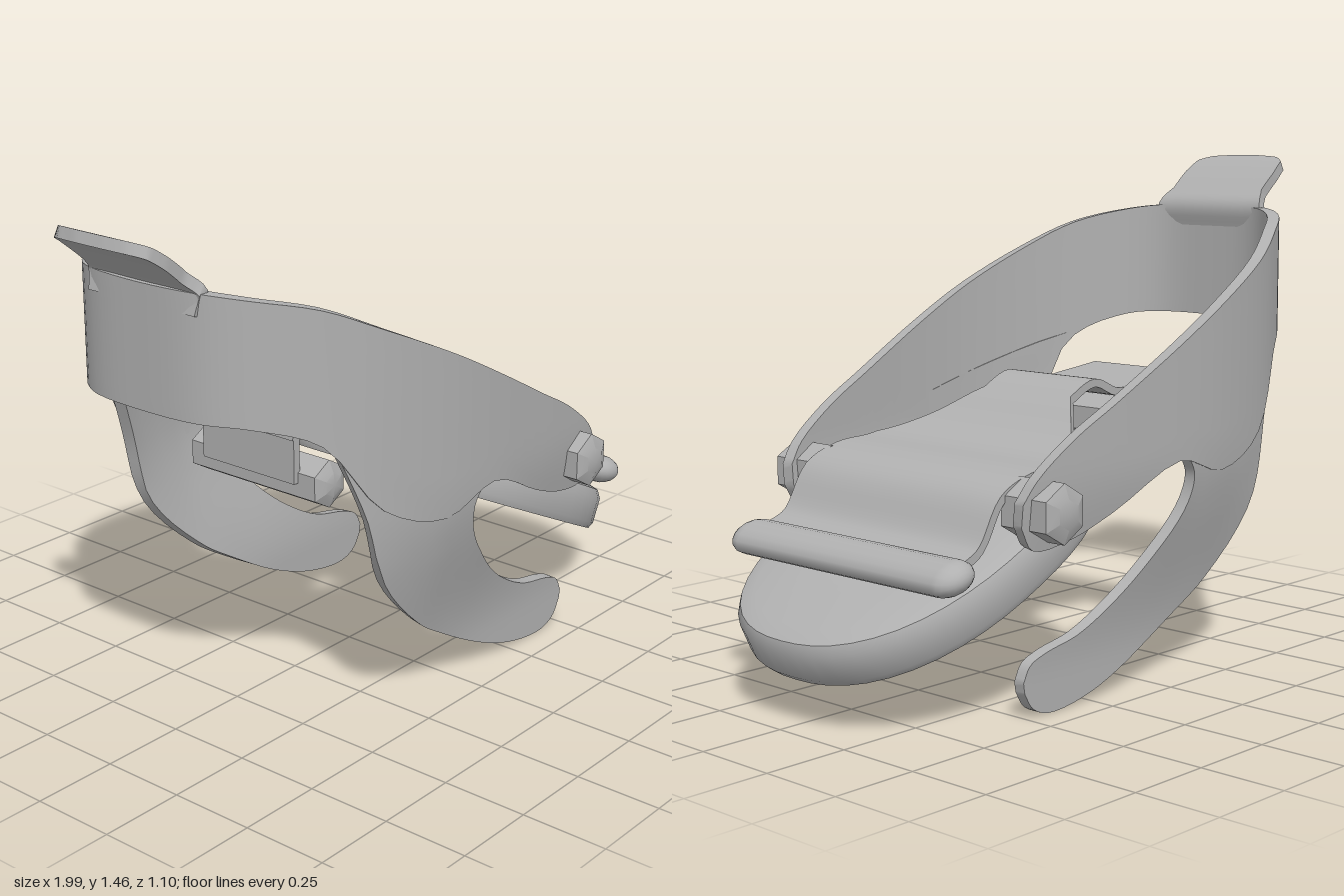
import * as THREE from 'three';
import { toCreasedNormals } from 'three/addons/utils/BufferGeometryUtils.js';

const V = (x, y, z = 0) => new THREE.Vector3(x, y, z);
const curve = (pts) => new THREE.CatmullRomCurve3(pts, false, 'centripetal');

// Closed plate of thickness t around the surface fn(u, v)
function plate(nu, nv, t, fn) {
  const pos = [], idx = [], e = 0.004;
  const cl = (a) => Math.min(1, Math.max(0, a));
  const count = (nu + 1) * (nv + 1);
  const front = [], back = [];
  for (let j = 0; j <= nv; j++) for (let i = 0; i <= nu; i++) {
    const u = i / nu, v = j / nv, p = fn(u, v);
    const du = fn(cl(u + e), v).sub(fn(cl(u - e), v));
    const dv = fn(u, cl(v + e)).sub(fn(u, cl(v - e)));
    const n = du.cross(dv).normalize().multiplyScalar(t / 2);
    front.push(p.clone().add(n));
    back.push(p.clone().sub(n));
  }
  for (const p of [...front, ...back]) pos.push(p.x, p.y, p.z);
  const id = (i, j) => j * (nu + 1) + i;
  for (let j = 0; j < nv; j++) for (let i = 0; i < nu; i++) {
    const a = id(i, j), b = id(i + 1, j), c = id(i + 1, j + 1), d = id(i, j + 1);
    idx.push(a, b, c, a, c, d);
    idx.push(a + count, c + count, b + count, a + count, d + count, c + count);
  }
  const rim = [];
  for (let i = 0; i < nu; i++) rim.push(id(i, 0));
  for (let j = 0; j < nv; j++) rim.push(id(nu, j));
  for (let i = nu; i > 0; i--) rim.push(id(i, nv));
  for (let j = nv; j > 0; j--) rim.push(id(0, j));
  rim.forEach((a, k) => {
    const b = rim[(k + 1) % rim.length];
    idx.push(a, a + count, b + count, a, b + count, b);
  });
  const g = new THREE.BufferGeometry();
  g.setAttribute('position', new THREE.Float32BufferAttribute(pos, 3));
  g.setIndex(idx);
  return toCreasedNormals(g, 0.8);
}

// Strip running along x, from stations [x, y, half width]
function ribbon(stations, t, nu) {
  const c = curve(stations.map(([x, y]) => V(x, y)));
  const w = (u) => {
    const f = u * (stations.length - 1), i = Math.min(stations.length - 2, Math.floor(f));
    return THREE.MathUtils.lerp(stations[i][2], stations[i + 1][2], f - i);
  };
  return plate(nu, 6, t, (u, v) => {
    const p = c.getPoint(u);
    p.z = w(u) * (1 - 2 * v);
    return p;
  });
}

// Yoke stations: x, z, top y, bottom y
const yoke = [
  [-0.815, 0, 1.31, 0.965], [-0.8, 0.18, 1.31, 0.965], [-0.73, 0.29, 1.295, 0.955],
  [-0.58, 0.39, 1.255, 0.89], [-0.42, 0.46, 1.18, 0.68], [-0.2, 0.502, 1.075, 0.6],
  [0, 0.508, 0.97, 0.65], [0.25, 0.493, 0.835, 0.54], [0.4, 0.48, 0.755, 0.485],
  [0.53, 0.467, 0.66, 0.475], [0.575, 0.46, 0.6, 0.54],
];
function yokeZ(x) {
  for (let i = 0; i < yoke.length - 1; i++) {
    const [a, za] = yoke[i], [b, zb] = yoke[i + 1];
    if (x <= b) return THREE.MathUtils.mapLinear(x, a, b, za, zb);
  }
  return 0.46;
}
// Low parts of the arms lean inward
function lean(p, side) {
  const k = 1 - THREE.MathUtils.smoothstep(p.y, 0.1, 0.68);
  p.z = THREE.MathUtils.lerp(p.z, side * 0.4, k);
  return p;
}

export function createModel() {
  const root = new THREE.Group();
  const grey = new THREE.MeshStandardMaterial({ color: 0xb0b0b0 });
  grey.name = 'grey';
  const add = (name, geo) => {
    const m = new THREE.Mesh(geo, grey);
    m.name = name;
    root.add(m);
    return m;
  };

  // Yoke band wrapped round the back
  const full = [...yoke.slice(1).reverse().map(([x, z, t, b]) => [x, -z, t, b]), ...yoke];
  const top = curve(full.map(([x, z, t]) => V(x, t, z)));
  const bottom = curve(full.map(([x, z, , b]) => V(x, b, z)));
  add('yokeBand', plate(80, 8, 0.036, (u, v) => {
    const p = top.getPoint(u).lerp(bottom.getPoint(u), v);
    return lean(p, Math.sign(p.z));
  }));

  // Curled lower arms
  const outer = curve([[-0.56, 0.9], [-0.47, 0.68], [-0.4, 0.46], [-0.22, 0.27], [-0.1, 0.19],
    [0.1, 0.08], [0.27, 0.02], [0.42, 0.005], [0.48, 0.03], [0.51, 0.075]].map(([x, y]) => V(x, y)));
  const inner = curve([[0, 0.74], [-0.045, 0.655], [-0.075, 0.6], [-0.06, 0.52], [0.03, 0.4],
    [0.15, 0.29], [0.3, 0.205], [0.43, 0.175], [0.49, 0.15], [0.515, 0.105]].map(([x, y]) => V(x, y)));
  for (const s of [1, -1]) {
    add(s > 0 ? 'leftLowerArm' : 'rightLowerArm', plate(40, 6, 0.034, (u, v) => {
      const p = outer.getPoint(u).lerp(inner.getPoint(u), v);
      p.z = s * yokeZ(p.x);
      return lean(p, s);
    }));
  }

  // Raised tab at the back
  add('backTab', ribbon([[-0.81, 1.25, 0.19], [-0.8, 1.31, 0.2], [-0.84, 1.352, 0.175],
    [-0.9, 1.402, 0.175], [-0.95, 1.436, 0.165], [-0.978, 1.448, 0.125], [-0.99, 1.452, 0.05]], 0.032, 24));

  // Hinged strap with narrow neck
  add('strap', ribbon([[-0.44, 0.82, 0.17], [-0.3, 0.805, 0.17], [-0.15, 0.795, 0.17], [-0.05, 0.83, 0.17],
    [0.05, 0.79, 0.17], [0.17, 0.71, 0.28], [0.29, 0.66, 0.385], [0.45, 0.645, 0.385],
    [0.56, 0.6, 0.385], [0.64, 0.48, 0.385], [0.7, 0.45, 0.39], [0.76, 0.43, 0.4]], 0.024, 55));
  const lip = add('neckLip', new THREE.BoxGeometry(0.024, 0.14, 0.34));
  lip.position.set(-0.425, 0.75, 0);

  // Rounded crossbar on the front of the strap
  const bar = add('crossbar', new THREE.CapsuleGeometry(0.06, 0.77, 6, 16).rotateX(Math.PI / 2));
  bar.scale.set(1.17, 0.72, 1);
  bar.rotation.z = -0.3;
  bar.position.set(0.755, 0.425, 0);

  // Hexagonal pins with low pointed heads, one of each per side
  for (const [name, x, y, r, z0, z1] of [['PivotPin', 0.48, 0.57, 0.082, 0.37, 0.55],
    ['NeckPin', -0.36, 0.675, 0.07, 0, 0.25]]) {
    const profile = [[0, z0], [r, z0], [r, z1 - 0.02], [r * 0.5, z1 - 0.004], [0, z1]];
    const lathe = new THREE.LatheGeometry(profile.map(([a, b]) => new THREE.Vector2(a, b)), 6);
    const geo = toCreasedNormals(lathe.rotateX(Math.PI / 2), 0.4);
    for (const side of ['left', 'right']) {
      const pin = add(side + name, geo);
      pin.position.set(x, y, 0);
      pin.rotation.y = side === 'left' ? 0 : Math.PI;
    }
  }

  // Tilted oval pad with a recessed underside
  const padProfile = [[0, 0.045], [0.5, 0.045], [0.84, 0.035], [0.88, 0], [0.98, 0], [1, 0.02],
    [1, 0.1], [0.97, 0.125], [0.88, 0.138], [0.5, 0.14], [0, 0.14]];
  const pad = new THREE.LatheGeometry(padProfile.map(([a, b]) => new THREE.Vector2(a, b)), 48);
  const pp = pad.attributes.position;
  for (let i = 0; i < pp.count; i++) {
    const x = pp.getX(i), z = pp.getZ(i), r = Math.hypot(x, z);
    if (r < 1e-6) continue;
    // Squarer than an ellipse
    const k = Math.pow(Math.pow(Math.abs(x / r), 2.35) + Math.pow(Math.abs(z / r), 2.35), -1 / 2.35);
    pp.setXYZ(i, x * k * 0.55, pp.getY(i), z * k * 0.43);
  }
  const padMesh = add('footPad', toCreasedNormals(pad, 0.7));
  padMesh.position.set(0.455, 0.36, 0);
  padMesh.rotation.z = -0.452;

  return root;
}
